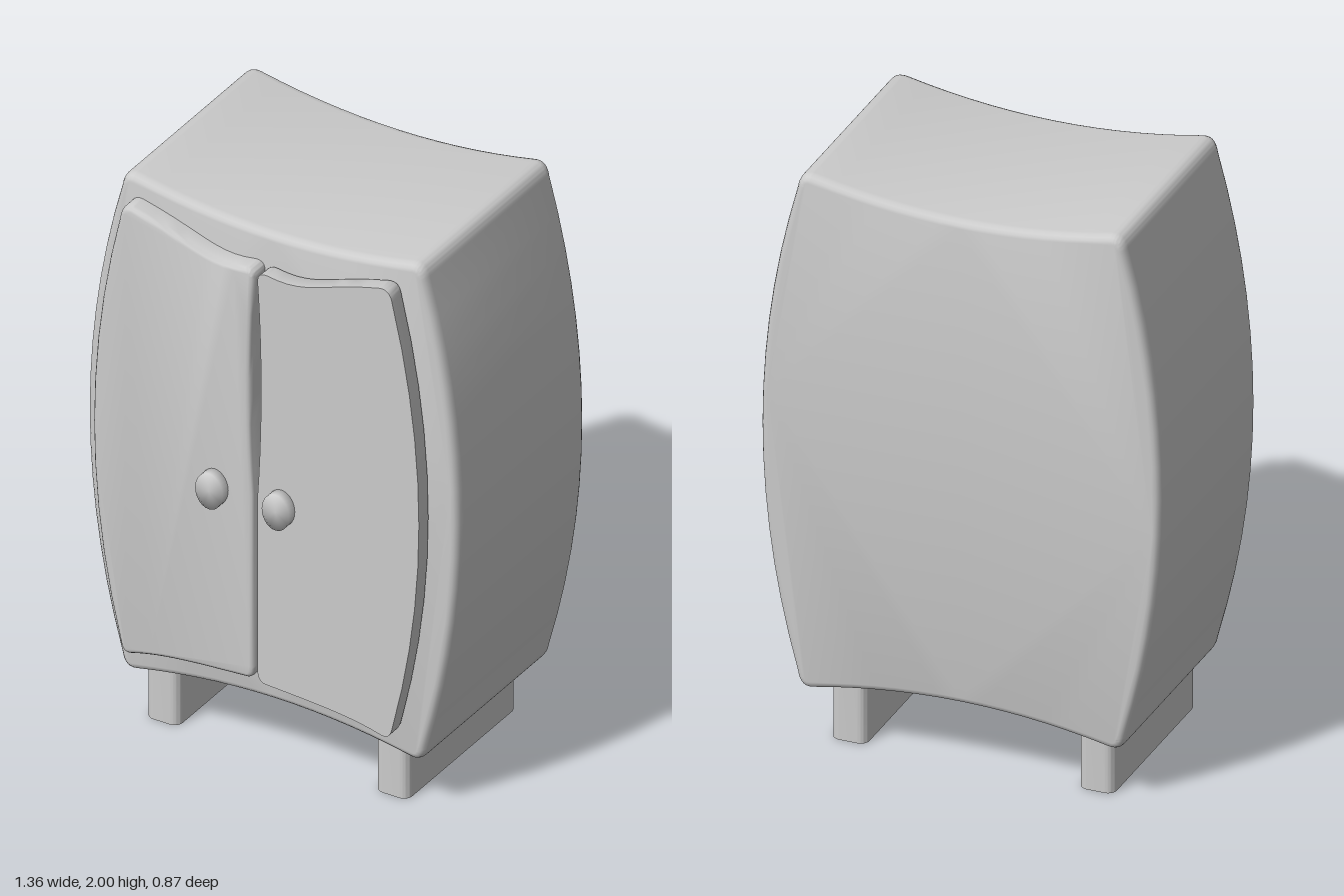
import * as THREE from 'three';
import { mergeVertices, toCreasedNormals } from 'three/addons/utils/BufferGeometryUtils.js';

const grey = new THREE.MeshStandardMaterial({ color: 0xcccccc });
const openGrey = new THREE.MeshStandardMaterial({ color: 0xcccccc, side: THREE.DoubleSide });

function add(parent, name, geometry, material = grey) {
  const mesh = new THREE.Mesh(geometry, material);
  mesh.name = name;
  parent.add(mesh);
  return mesh;
}

// Barrel-sided cabinet outline with a sagging top and an arched bottom
function bodyShape() {
  const s = new THREE.Shape();
  s.moveTo(0.5, 0.19);
  s.quadraticCurveTo(0.55, 0.18, 0.56, 0.24);
  s.quadraticCurveTo(0.802, 1.095, 0.56, 1.95);
  s.quadraticCurveTo(0.55, 2.01, 0.5, 2.0);
  s.quadraticCurveTo(0, 1.895, -0.5, 2.0);
  s.quadraticCurveTo(-0.55, 2.01, -0.56, 1.95);
  s.quadraticCurveTo(-0.802, 1.095, -0.56, 0.24);
  s.quadraticCurveTo(-0.55, 0.18, -0.5, 0.19);
  s.quadraticCurveTo(0, 0.295, 0.5, 0.19);
  return s;
}

// Door panel: rounded rim on one face, sharp edge on the other (z = 0)
function doorGeometry() {
  const s = new THREE.Shape();
  s.moveTo(-0.475, 0.295);
  s.bezierCurveTo(-0.36, 0.33, -0.2, 0.335, -0.05, 0.345);
  s.quadraticCurveTo(-0.025, 0.35, -0.025, 0.39);
  s.lineTo(-0.025, 1.02);
  s.bezierCurveTo(-0.045, 1.3, -0.04, 1.6, -0.025, 1.81);
  s.quadraticCurveTo(-0.025, 1.845, -0.06, 1.842);
  s.bezierCurveTo(-0.2, 1.815, -0.25, 1.875, -0.47, 1.928);
  s.quadraticCurveTo(-0.51, 1.935, -0.518, 1.89);
  s.quadraticCurveTo(-0.715, 1.1, -0.518, 0.33);
  s.quadraticCurveTo(-0.51, 0.285, -0.475, 0.295);
  const g = new THREE.ExtrudeGeometry(s, {
    depth: 0.05, curveSegments: 10, bevelThickness: 0.02, bevelSize: 0.016, bevelOffset: -0.016, bevelSegments: 3,
  });
  const p = g.attributes.position;
  for (let i = 0; i < p.count; i++) p.setZ(i, Math.max(p.getZ(i), 0));
  return toCreasedNormals(g, 0.7);
}

// Rounded rectangular tube without end caps, standing on y = 0
function legGeometry(width, depth, height, r) {
  const w = width / 2, d = depth / 2;
  const s = new THREE.Shape();
  s.absarc(w - r, d - r, r, 0, Math.PI / 2);
  s.absarc(r - w, d - r, r, Math.PI / 2, Math.PI);
  s.absarc(r - w, r - d, r, Math.PI, Math.PI * 1.5);
  s.absarc(w - r, r - d, r, Math.PI * 1.5, Math.PI * 2);
  s.closePath();
  const full = new THREE.ExtrudeGeometry(s, { depth: height, curveSegments: 5, bevelEnabled: false });
  const { start, count } = full.groups[1];
  const g = new THREE.BufferGeometry();
  const walls = full.attributes.position.array.slice(start * 3, (start + count) * 3);
  g.setAttribute('position', new THREE.BufferAttribute(walls, 3));
  g.rotateX(-Math.PI / 2);
  return toCreasedNormals(g, 0.7);
}

// Short oval stud whose normals run smoothly over the rim
function knobGeometry() {
  const g = new THREE.CylinderGeometry(1, 1, 0.05, 28);
  g.rotateX(Math.PI / 2);
  g.scale(0.05, 0.065, 1);
  g.deleteAttribute('normal');
  g.deleteAttribute('uv');
  const smooth = mergeVertices(g);
  smooth.computeVertexNormals();
  return smooth;
}

export function createModel() {
  const model = new THREE.Group();
  model.name = 'wardrobe';

  // Cabinet
  const body = new THREE.ExtrudeGeometry(bodyShape(), {
    depth: 0.695, curveSegments: 14, bevelThickness: 0.035, bevelSize: 0.025, bevelOffset: -0.025, bevelSegments: 4,
  });
  body.translate(0, 0, -0.4);
  add(model, 'cabinet', toCreasedNormals(body, 0.6));

  // Doors: the left one is the same panel turned around
  const panel = doorGeometry();
  add(model, 'rightDoor', panel).position.z = 0.33;
  const leftDoor = add(model, 'leftDoor', panel);
  leftDoor.rotation.y = Math.PI;
  leftDoor.position.set(-0.035, 0, 0.4);

  // Knobs
  const knob = knobGeometry();
  add(model, 'rightKnob', knob).position.set(-0.167, 1.01, 0.41);
  add(model, 'leftKnob', knob).position.set(0.077, 1.01, 0.41);

  // Runner legs, open underneath
  const leg = legGeometry(0.12, 0.655, 0.22, 0.03);
  add(model, 'rightLeg', leg, openGrey).position.set(-0.436, 0, -0.048);
  add(model, 'leftLeg', leg, openGrey).position.set(0.405, 0, -0.048);

  return model;
}
